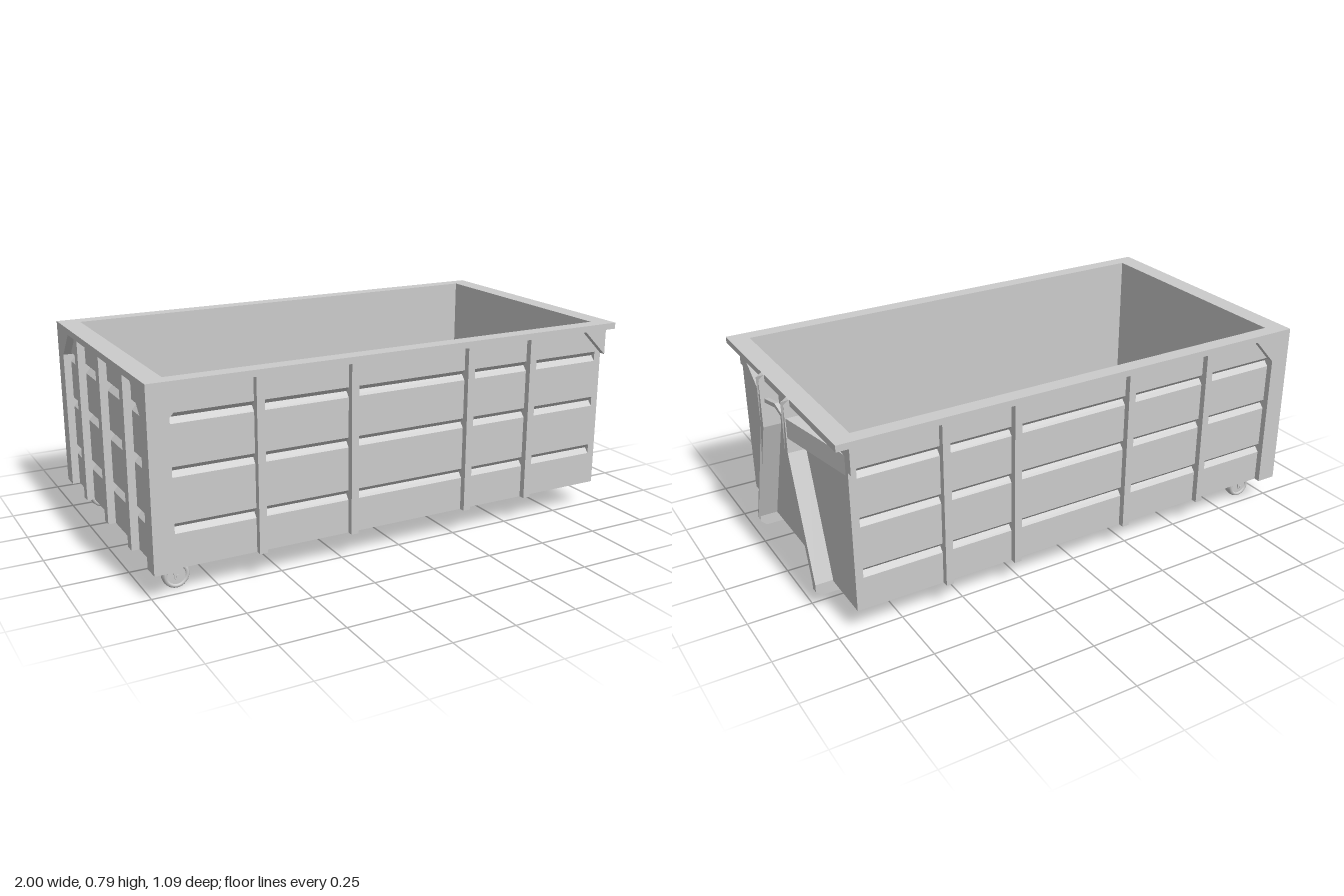
import * as THREE from 'three';

const mat = new THREE.MeshStandardMaterial({ color: 0xcccccc });
const flat = new THREE.MeshStandardMaterial({ color: 0xcccccc, flatShading: true });

// Extrude an outline along an axis. Outline axes: 'z' -> (x,y), 'x' -> (z,y), 'y' -> (x,z)
function prism(points, axis, from, to, hole) {
  const shape = new THREE.Shape(points.map(p => new THREE.Vector2(...p)));
  if (hole) shape.holes.push(new THREE.Path(hole.map(p => new THREE.Vector2(...p))));
  const g = new THREE.ExtrudeGeometry(shape, { depth: to - from, bevelEnabled: false });
  if (axis === 'z') g.translate(0, 0, from);
  if (axis === 'x') g.rotateY(-Math.PI / 2).translate(to, 0, 0);
  if (axis === 'y') g.rotateX(Math.PI / 2).translate(0, to, 0);
  return g;
}

function box(x0, x1, y0, y1, z0, z1) {
  return new THREE.BoxGeometry(x1 - x0, y1 - y0, z1 - z0)
    .translate((x0 + x1) / 2, (y0 + y1) / 2, (z0 + z1) / 2);
}

const rect = (x0, x1, y0, y1) => [[x0, y0], [x1, y0], [x1, y1], [x0, y1]];

const BOTTOM = 0.105, UNDER_RIM = 0.76, TOP = 0.785;

// Wall section with three pressed V grooves; s picks the outward direction
function grooved(inner, outer, s) {
  const pts = [[s * inner, BOTTOM], [s * outer, BOTTOM]];
  for (const y of [0.255, 0.46, 0.65])
    pts.push([s * outer, y - 0.02], [s * (outer - 0.018), y], [s * outer, y + 0.018]);
  pts.push([s * outer, UNDER_RIM], [s * inner, UNDER_RIM]);
  return pts;
}

export function createModel() {
  const model = new THREE.Group();
  const add = (name, geometry, material = flat, parent = model) => {
    const m = new THREE.Mesh(geometry, material);
    m.name = name;
    parent.add(m);
    return m;
  };

  // Floor, top rim and plain hook-end wall
  add('floor', box(-0.96, 0.92, BOTTOM, 0.13, -0.5, 0.5));
  add('rim', prism(rect(-1, 0.977, -0.545, 0.545), 'y', UNDER_RIM, TOP,
    rect(-0.92, 0.9, -0.485, 0.485)));
  add('hookEndWall', box(0.9, 0.93, BOTTOM, UNDER_RIM, -0.52, 0.52));

  // Back wall with chamfered frame and ribs
  add('backPanel', prism(grooved(0.92, 0.97, -1), 'z', -0.485, 0.485));
  const w = 0.475;
  add('backFrame', prism([[-0.545, BOTTOM], [-w, BOTTOM], [-w, 0.66], [-w + 0.09, UNDER_RIM],
    [w - 0.09, UNDER_RIM], [w, 0.66], [w, BOTTOM], [0.545, BOTTOM],
    [0.545, UNDER_RIM + 0.005], [-0.545, UNDER_RIM + 0.005]], 'x', -1, -0.94));
  for (const z of [-0.28, 0, 0.28])
    add('backRib', box(-1, -0.94, BOTTOM, UNDER_RIM, z - 0.02, z + 0.02));

  for (const s of [1, -1]) {
    const span = (a, b) => s > 0 ? [a, b] : [-b, -a];

    // Long side: grooved panel, frame with corner gussets, ribs
    add('sidePanel', prism(grooved(0.485, 0.52, s), 'x', -0.93, 0.9));
    add('sideFrame', prism([[-1, BOTTOM], [-0.92, BOTTOM], [-0.92, 0.66], [-0.83, UNDER_RIM],
      [0.83, UNDER_RIM], [0.93, 0.66], [0.93, UNDER_RIM + 0.005], [-1, UNDER_RIM + 0.005]],
      'z', ...span(0.49, 0.545)));
    for (const x of [-0.59, -0.218, 0.283, 0.573])
      add('sideRib', box(x - 0.015, x + 0.015, BOTTOM, UNDER_RIM, ...span(0.49, 0.545)));

    // Skid rail underneath
    add('skidRail', box(-0.93, 0.935, 0.06, BOTTOM, ...span(0.274, 0.302)));

    // Bent lifting arm with chamfered ends
    const inner = [[0.274, 0.06], [0.274, 0.08], [0.274, 0.105], [0.112, 0.575], [0.112, 0.77], [0.112, TOP]];
    const outer = [[0.14, TOP], [0.14, 0.77], [0.14, 0.58], [0.302, 0.11], [0.302, 0.08], [0.302, 0.06]];
    const arm = prism([...inner, ...outer].map(([z, y]) => [s * z, y]), 'x', 0.925, 1);
    const p = arm.attributes.position;
    for (let i = 0; i < p.count; i++)
      if (p.getX(i) > 0.99 && (p.getY(i) < 0.065 || p.getY(i) > 0.78)) p.setX(i, 0.978);
    arm.computeVertexNormals();
    add('liftArm', arm);

    // Tapered brace from arm to corner
    add('armBrace', prism([[0.925, s * 0.5], [0.93, s * 0.5], [0.998, s * 0.13], [0.925, s * 0.13]],
      'y', 0.64, 0.717));

    // Roller with bracket
    const roller = new THREE.Group();
    roller.name = 'roller';
    roller.position.set(-0.89, 0.051, s * 0.442);
    model.add(roller);
    const tyre = [[0.034, -0.016], [0.037, -0.021], [0.044, -0.021], [0.049, -0.014], [0.051, 0],
      [0.049, 0.014], [0.044, 0.021], [0.037, 0.021], [0.034, 0.016]];
    add('tyre', new THREE.LatheGeometry(tyre.map(q => new THREE.Vector2(...q)), 32)
      .rotateX(Math.PI / 2), mat, roller);
    add('wheelDisc', new THREE.CylinderGeometry(0.035, 0.035, 0.032, 32).rotateX(Math.PI / 2), flat, roller);
    add('axle', new THREE.CylinderGeometry(0.008, 0.008, 0.064, 12).rotateX(Math.PI / 2), flat, roller);
    for (const t of [1, -1]) {
      const z = t * 0.027;
      add('forkPlate', prism([[-0.01, -0.01], [0.01, -0.01], [0.025, 0.056], [-0.025, 0.056]],
        'z', z - 0.002, z + 0.002), flat, roller);
    }
    add('mountPlate', box(-0.035, 0.035, 0.051, 0.056, -0.042, 0.042), flat, roller);
  }

  // Bent grab bar between the arms
  const h = 0.115;
  add('grabBar', prism([[-h, 0.674], [0, 0.7], [h, 0.674], [h, 0.69], [0, 0.716], [-h, 0.69]],
    'x', 0.968, 0.985));

  return model;
}
